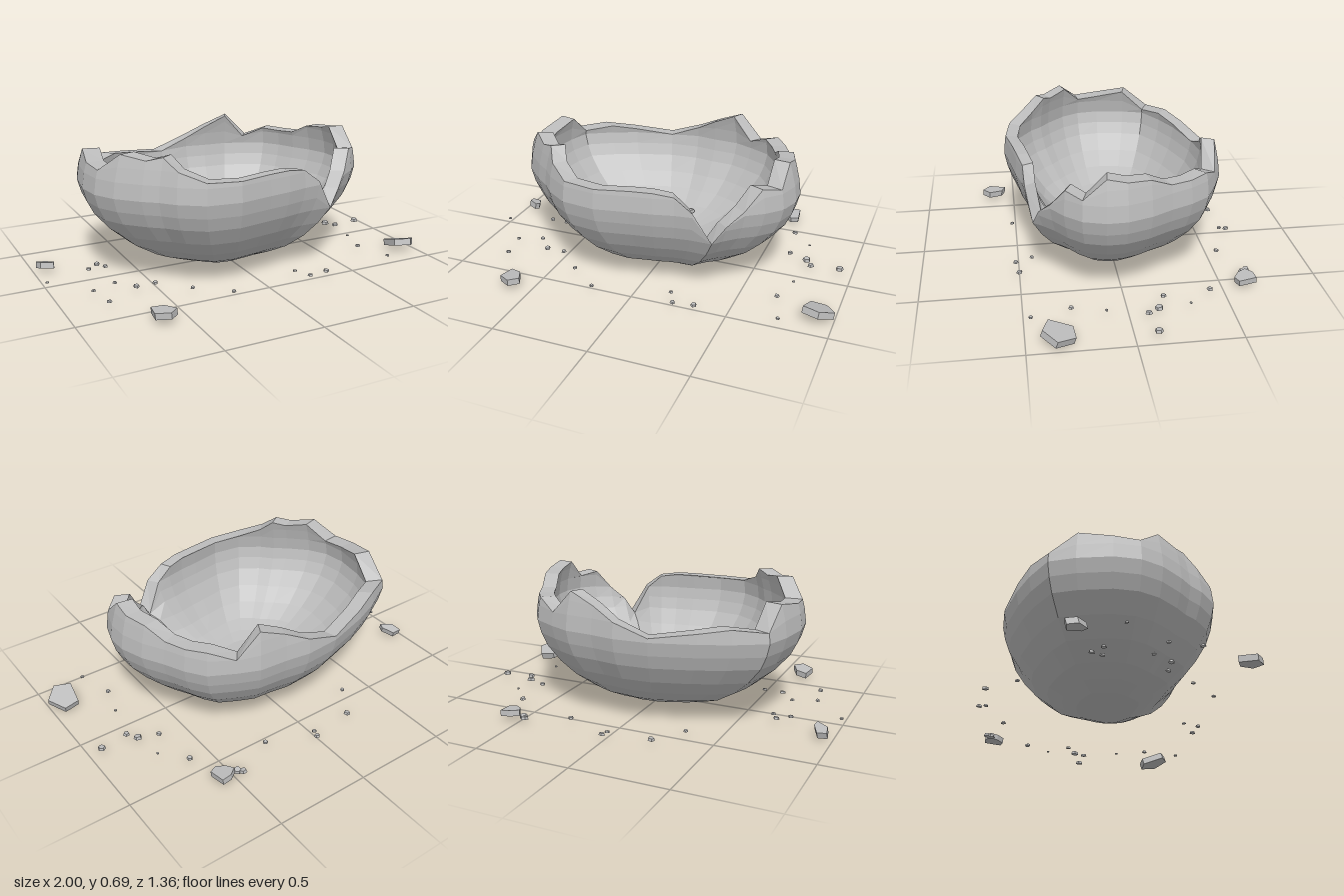
import * as THREE from 'three';

const stone = new THREE.MeshStandardMaterial({ color: 0xbcbcbc, flatShading: true });
stone.name = 'grey shell';

// Broken edge: angle from +x towards +z in degrees, widest radius, rim height
const columns = [
  [0, .72, .66], [8, .73, .68], [17, .72, .58], [25, .68, .6], [33, .635, .5], [41, .62, .43],
  [47, .625, .34], [56, .55, .5], [65, .515, .57], [77, .505, .585], [90, .51, .585], [108, .57, .58],
  [124, .625, .585], [137, .64, .63], [145, .645, .69], [152, .675, .67], [163, .73, .69],
  [172, .765, .6], [182, .775, .61], [195, .775, .64], [205, .78, .53], [217, .695, .55],
  [230, .63, .53], [252, .58, .5], [270, .565, .56], [283, .56, .62], [297, .6, .675],
  [308, .62, .55], [320, .66, .6], [330, .66, .595], [340, .66, .6], [350, .69, .65],
];

// Bowl profile: height and share of the widest radius
const profile = [[.03, .29], [.06, .42], [.1, .56], [.17, .71], [.25, .83], [.34, .93],
  [.41, .975], [.48, 1], [.56, .985], [.63, .96], [.7, .93]];

function share(y) {
  for (let i = 1; i < profile.length; i++) {
    const [y0, s0] = profile[i - 1], [y1, s1] = profile[i];
    if (y <= y1) return s0 + (s1 - s0) * (y - y0) / (y1 - y0);
  }
  return profile.at(-1)[1];
}

// One wall section: up the outside, over the rim, down the inside
function section([degrees, radius, rim]) {
  const a = THREE.MathUtils.degToRad(degrees);
  const at = (r, y) => [r * Math.cos(a), y, r * Math.sin(a)];
  const outer = [], inner = [];
  profile.forEach(([level], j) => {
    const y = Math.min(level, rim);
    const lift = .09 * (1 - j / (profile.length - 1));
    outer.push(at(radius * share(y), y));
    inner.unshift(at(radius * share(y) * .88, Math.min(rim, y + lift)));
  });
  return [[0, .03, 0], ...outer, ...inner, [.02, .112, 0]];
}

function shellGeometry() {
  const sections = columns.map(section);
  const rows = sections[0].length, index = [];
  for (let i = 0; i < sections.length; i++) {
    const next = (i + 1) % sections.length;
    for (let j = 0; j < rows - 1; j++) {
      const a = i * rows + j, b = next * rows + j;
      index.push(a, a + 1, b, b, a + 1, b + 1);
    }
  }
  const g = new THREE.BufferGeometry();
  g.setAttribute('position', new THREE.Float32BufferAttribute(sections.flat(2), 3));
  g.setIndex(index);
  g.computeVertexNormals();
  return g;
}

// Flat broken piece from an outline in x and z around its own centre
function fragment(outline, x, y, z, thickness, tiltX, tiltZ) {
  const shape = new THREE.Shape(outline.map(([px, pz]) => new THREE.Vector2(px, -pz)));
  const g = new THREE.ExtrudeGeometry(shape, { depth: thickness, bevelEnabled: false });
  g.translate(0, 0, -thickness / 2).rotateX(-Math.PI / 2);
  const mesh = new THREE.Mesh(g, stone);
  mesh.position.set(x, y, z);
  mesh.rotation.set(tiltX, 0, tiltZ);
  mesh.name = 'fragment';
  return mesh;
}

// Pointed sliver lying between two floor points
function sliver(x0, z0, x1, z1, tilt) {
  const length = Math.hypot(x1 - x0, z1 - z0);
  const g = new THREE.SphereGeometry(.5, 6, 6).rotateZ(Math.PI / 2).scale(length, .05, .095);
  g.rotateX(tilt).rotateY(-Math.atan2(z1 - z0, x1 - x0));
  const mesh = new THREE.Mesh(g, stone);
  mesh.position.set((x0 + x1) / 2, .16, (z0 + z1) / 2);
  mesh.name = 'sliver';
  return mesh;
}

export function createModel() {
  const model = new THREE.Group();
  model.name = 'brokenShell';

  const shell = new THREE.Mesh(shellGeometry(), stone);
  shell.name = 'shell';
  model.add(shell);

  // Slivers on the floor of the shell
  const slivers = new THREE.Group();
  slivers.name = 'slivers';
  slivers.add(sliver(-.24, -.01, -.01, -.1, .3), sliver(-.03, -.08, .07, -.24, -.4),
    sliver(.05, -.02, .17, .16, .3));
  model.add(slivers);

  // Large pieces thrown outwards
  const fragments = new THREE.Group();
  fragments.name = 'fragments';
  fragments.add(
    fragment([[-.06, -.07], [.02, -.08], [.075, .01], [.01, .08], [-.075, .05]], .925, .042, .35, .035, .3, -.1),
    fragment([[-.04, -.07], [.02, -.05], [.055, .02], [.01, .06], [-.055, .02]], -.615, .042, .62, .032, -.08, .06),
    fragment([[-.05, -.02], [-.01, -.05], [.04, -.055], [.05, .035], [.01, .05], [-.03, .02]], .55, .04, -.615, .03, .1, -.06),
    fragment([[-.04, -.045], [.01, -.045], [.04, .02], [.03, .05], [-.03, .01]], -.94, .04, -.2, .032, -.25, -.1),
  );
  fragments.children[0].rotation.x = -.3;
  model.add(fragments);

  // Small chips: x, z, size
  const chipSpots = [
    [-.23, -.62, .018], [0, -.63, .013], [.01, -.665, .016], [.46, -.65, .02], [.48, -.63, .022],
    [.62, -.425, .016], [.73, -.305, .008], [.65, -.185, .015], [.75, -.145, .022], [.785, -.09, .018],
    [.935, -.11, .021], [.74, .105, .009], [.695, .27, .014], [.75, .465, .011], [.335, .5, .016],
    [.23, .515, .014], [-.815, .21, .012], [-.79, .365, .014], [-.99, .01, .01],
    [-.21, .52, .012], [-.61, .25, .016], [-.51, .25, .014], [-.69, .16, .012], [.19, .43, .012],
    [.25, -.55, .014], [-.34, -.46, .012], [-.69, -.12, .016], [-.66, -.07, .014], [-.37, .39, .012],
    [-.75, -.07, .014],
    [-.08, .05, .01], [-.02, -.015, .012], [.01, 0, .01], [.03, .02, .012],
  ];
  const chips = new THREE.Group();
  chips.name = 'chips';
  chipSpots.forEach(([x, z, size], i) => {
    const chip = new THREE.Mesh(new THREE.CylinderGeometry(size * .8, size, size * .7, 5), stone);
    const inside = Math.hypot(x, z) < .15;
    chip.position.set(x, inside ? .122 : .031, z);
    chip.rotation.set(.15 * Math.sin(i), i * 1.7, .15 * Math.cos(i));
    chip.name = 'chip';
    chips.add(chip);
  });
  model.add(chips);
  return model;
}
